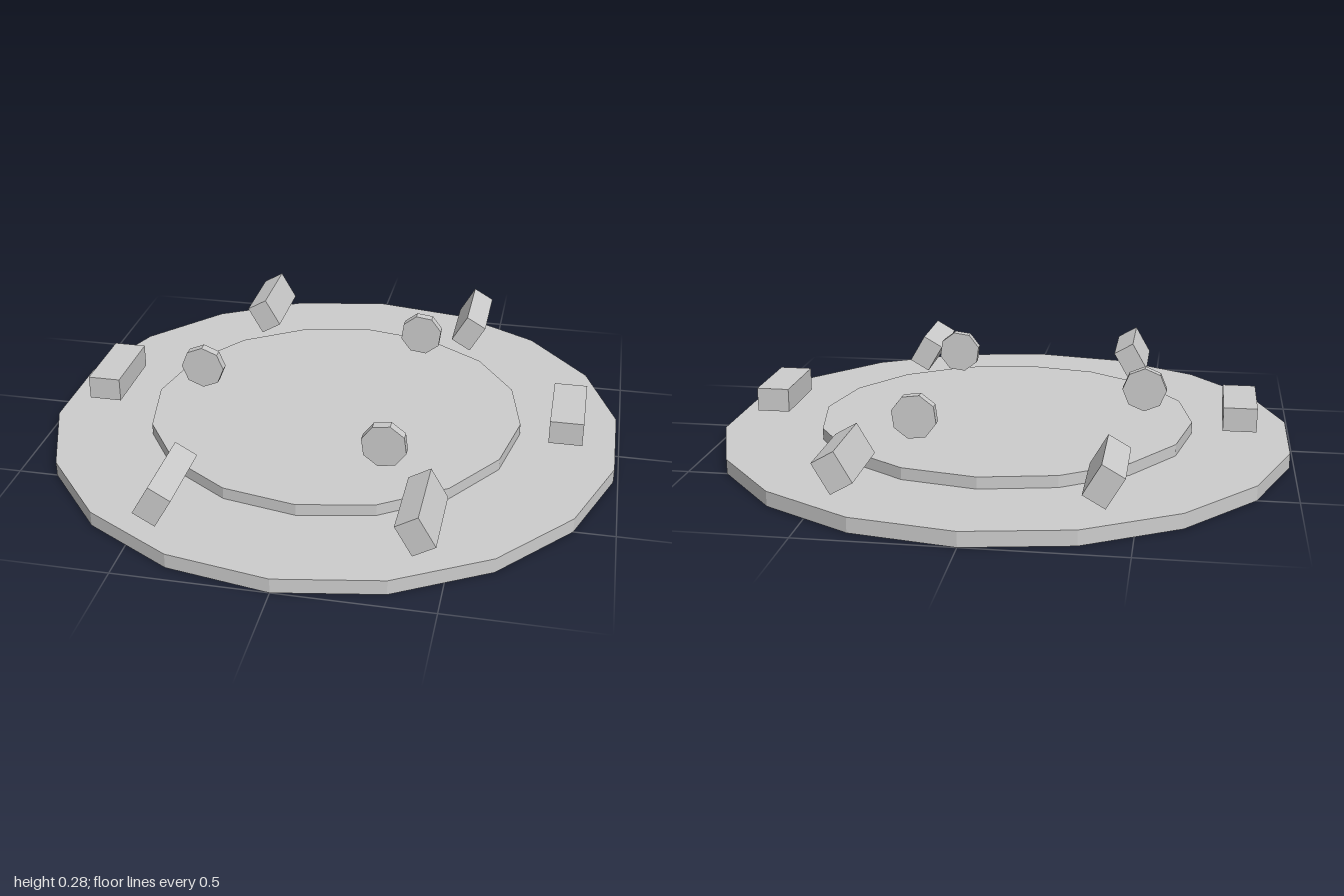
import * as THREE from 'three';

export function createModel() {
  const model = new THREE.Group();
  const grey = new THREE.MeshStandardMaterial({ color: 0xcccccc });
  grey.name = 'light grey';
  grey.flatShading = true;

  function add(name, geometry, x, y, z, turn = 0) {
    const mesh = new THREE.Mesh(geometry, grey);
    mesh.name = name;
    mesh.position.set(x, y, z);
    mesh.rotation.z = turn;
    model.add(mesh);
  }

  // Two stacked faceted discs
  add('base', new THREE.CylinderGeometry(1, 1, 0.05, 18), 0, 0.025, 0);
  add('upperPlate', new THREE.CylinderGeometry(0.655, 0.655, 0.04, 16), 0, 0.07, 0);

  // Ring of six blocks, each rolled about z by its place on the ring
  const block = new THREE.BoxGeometry(0.113, 0.082, 0.282);
  for (let i = 0; i < 6; i++) {
    const a = (i * Math.PI) / 3;
    add('block', block, 0.815 * Math.cos(a), 0.15, -0.815 * Math.sin(a), a);
  }

  // Three floating upright octagonal tokens
  const token = new THREE.CylinderGeometry(0.077, 0.077, 0.033, 8).rotateX(Math.PI / 2);
  for (let i = 0; i < 3; i++) {
    const a = Math.PI / 3 + (i * Math.PI * 2) / 3;
    add('token', token, 0.487 * Math.cos(a), 0.205, -0.487 * Math.sin(a), a);
  }

  return model;
}
